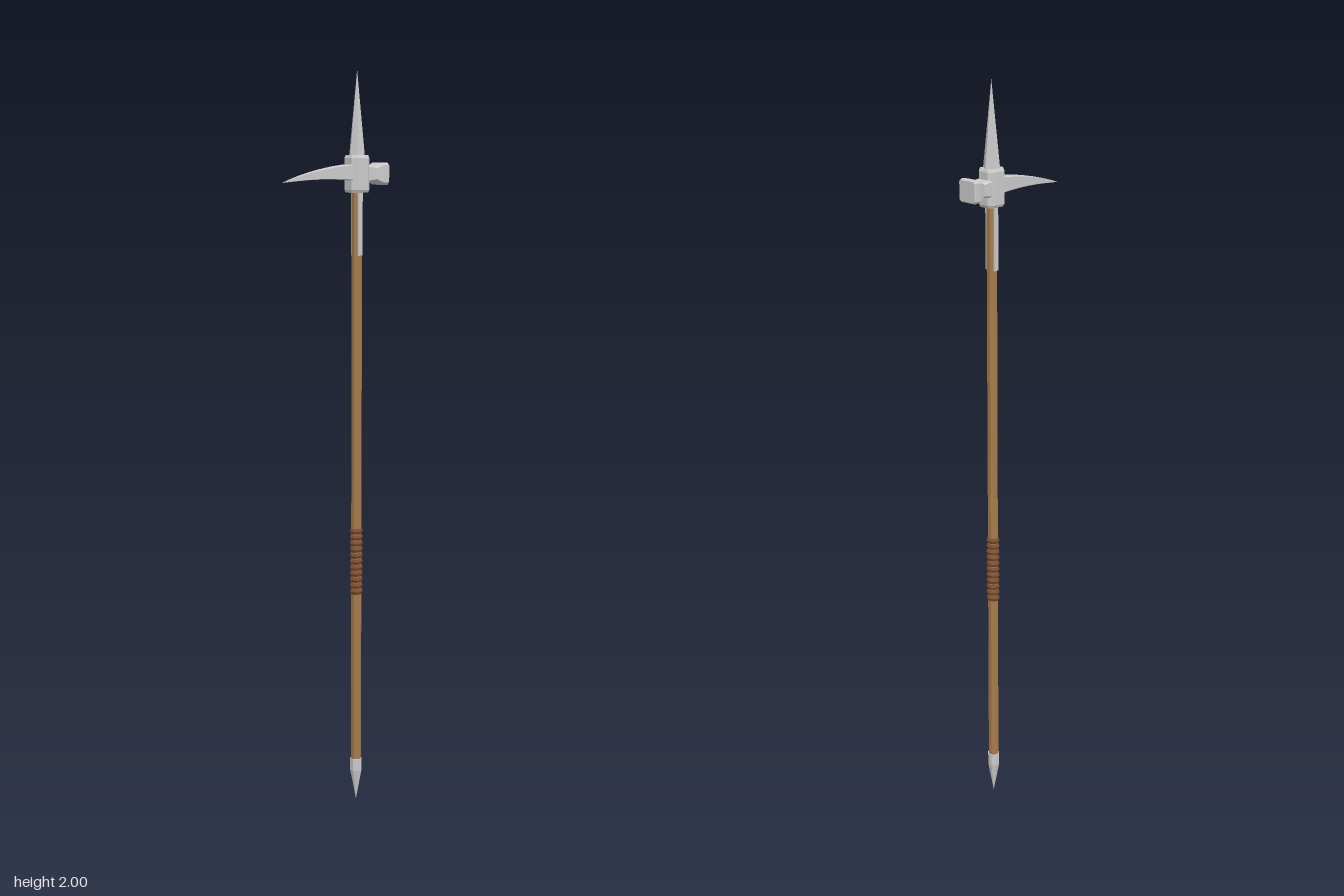
import * as THREE from 'three';

const steel = new THREE.MeshStandardMaterial({ color: 0xcccccc, flatShading: true });
const wood = new THREE.MeshStandardMaterial({ color: 0xa67c4a, flatShading: true });
const leather = new THREE.MeshStandardMaterial({ color: 0x7d4f30, flatShading: true });

const SHAFT_X = 0.077;

// Loft of chamfered rectangles along +x; section = [x, centreY, halfY, halfZ, chamfer]
function loft(sections) {
  const pos = [], index = [];
  for (const [x, cy, h, w, c] of sections) {
    const ring = [[h, -w + c], [h, w - c], [h - c, w], [c - h, w],
      [-h, w - c], [-h, c - w], [c - h, -w], [h - c, -w]];
    for (const [y, z] of ring) pos.push(x, cy + y, z);
  }
  const last = (sections.length - 1) * 8;
  for (let s = 0; s < last; s += 8) {
    for (let i = 0; i < 8; i++) {
      const a = s + i, b = s + (i + 1) % 8;
      index.push(a, b, b + 8, a, b + 8, a + 8);
    }
  }
  for (let i = 1; i < 7; i++) {
    index.push(0, i + 1, i, last, last + i, last + i + 1);
  }
  const indexed = new THREE.BufferGeometry();
  indexed.setAttribute('position', new THREE.Float32BufferAttribute(pos, 3));
  indexed.setIndex(index);
  const geo = indexed.toNonIndexed();
  geo.computeVertexNormals();
  return geo;
}

export function createModel() {
  const model = new THREE.Group();
  model.name = 'warHammer';
  const add = (name, geo, mat, x = 0, y = 0, z = 0) => {
    const mesh = new THREE.Mesh(geo, mat);
    mesh.name = name;
    mesh.position.set(x, y, z);
    model.add(mesh);
    return mesh;
  };

  // Long wooden shaft
  add('shaft', new THREE.CylinderGeometry(0.0145, 0.0145, 1.6, 8).rotateY(Math.PI / 8), wood, SHAFT_X, 0.9);

  // Pointed metal butt
  const butt = [[0, 0], [0.0165, 0.085], [0.0165, 0.118], [0, 0.118]].map(p => new THREE.Vector2(...p));
  add('buttSpike', new THREE.LatheGeometry(butt, 8).rotateY(Math.PI / 8), steel, SHAFT_X);

  // Leather cord wound around the grip
  const grip = new THREE.Group();
  grip.name = 'gripWrap';
  const coils = 11, coilGeo = new THREE.TorusGeometry(0.0115, 0.0065, 6, 12).rotateX(Math.PI / 2);
  coilGeo.scale(1, 1.3, 1);
  for (let i = 0; i < coils; i++) {
    const coil = new THREE.Mesh(coilGeo, leather);
    coil.name = 'wrapCoil';
    coil.position.set(SHAFT_X, 0.592 + i * 0.0168, 0);
    coil.rotation.z = 0.08;
    grip.add(coil);
  }
  model.add(grip);

  // Metal straps down the front and back of the shaft
  for (const side of [1, -1]) {
    add('shaftStrap', new THREE.BoxGeometry(0.014, 0.18, 0.004), steel, SHAFT_X, 1.6, side * 0.0145);
  }

  // Chamfered socket block
  const socket = loft([
    [1.677, 0, 0.027, 0.024, 0.01], [1.684, 0, 0.03, 0.0275, 0.012],
    [1.769, 0, 0.03, 0.0275, 0.012], [1.776, 0, 0.027, 0.024, 0.01],
  ]).rotateZ(Math.PI / 2);
  add('socketBlock', socket, steel, SHAFT_X);

  // Six-sided top spike
  add('topSpike', new THREE.ConeGeometry(0.0225, 0.225, 6).rotateY(Math.PI / 6), steel, SHAFT_X, 1.8875);

  // Hammer head with a flared face
  add('hammer', loft([
    [0.09, 1.727, 0.023, 0.024, 0.005], [0.11, 1.727, 0.022, 0.024, 0.005],
    [0.126, 1.727, 0.019, 0.0235, 0.005], [0.146, 1.727, 0.029, 0.0295, 0.006],
    [0.161, 1.727, 0.03, 0.0305, 0.006], [0.165, 1.727, 0.027, 0.0275, 0.005],
  ]), steel);

  // Beak curving down to a point
  const beak = [];
  for (let i = 0; i <= 8; i++) {
    const t = i / 8, x = -0.165 + t * 0.225, taper = Math.pow(t, 0.85);
    const h = 0.0005 + 0.0215 * taper, w = 0.0005 + 0.0195 * t;
    beak.push([x, 1.705 + 0.026 * (1 - (1 - t) ** 2), h, w, Math.min(h, w) * 0.12]);
  }
  add('beak', loft(beak), steel);

  return model;
}
